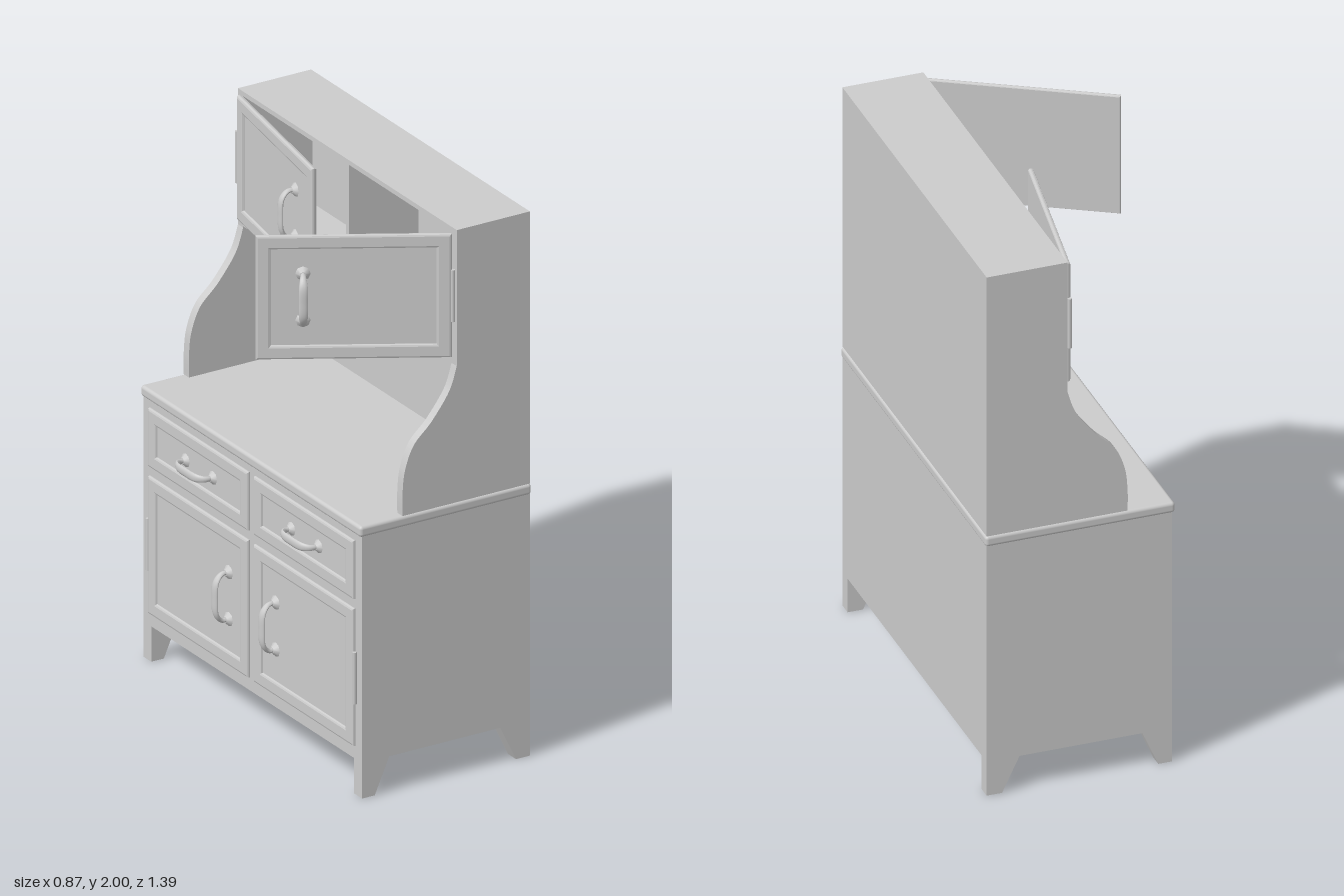
import * as THREE from 'three';
import { RoundedBoxGeometry } from 'three/addons/geometries/RoundedBoxGeometry.js';

const grey = new THREE.MeshStandardMaterial({ color: 0xcccccc });

function add(parent, name, geometry, x = 0, y = 0, z = 0) {
  const mesh = new THREE.Mesh(geometry, grey);
  mesh.name = name;
  mesh.position.set(x, y, z);
  parent.add(mesh);
  return mesh;
}

// Box given by its limits on each axis
function slab(parent, name, [x0, x1], [y0, y1], [z0, z1]) {
  return add(parent, name, new THREE.BoxGeometry(x1 - x0, y1 - y0, z1 - z0),
    (x0 + x1) / 2, (y0 + y1) / 2, (z0 + z1) / 2);
}

// Board with an x-y outline, its outer face at z = side * 0.69
function sideBoard(parent, name, shape, thick, side) {
  const geo = new THREE.ExtrudeGeometry(shape, { depth: thick, bevelEnabled: false, curveSegments: 10 });
  return add(parent, name, geo, 0, 0, side > 0 ? 0.69 - thick : -0.69);
}

function polygon(points) {
  return new THREE.Shape(points.map(([x, y]) => new THREE.Vector2(x, y)));
}

// Bow handle along local y: narrow necks, a wide grip and flared feet
function makeHandle() {
  const handle = new THREE.Group();
  handle.name = 'handle';
  const path = new THREE.CatmullRomCurve3([
    [-0.085, 0], [-0.085, 0.028], [-0.06, 0.05], [0, 0.055], [0.06, 0.05], [0.085, 0.028], [0.085, 0],
  ].map(([y, z]) => new THREE.Vector3(0, y, z)));
  const grip = new THREE.TubeGeometry(path, 32, 0.008, 10);
  const p = grip.attributes.position;
  for (let i = 0; i < p.count; i++) {
    p.setX(i, p.getX(i) * (1 + 1.2 * Math.pow(Math.max(p.getZ(i), 0) / 0.06, 2)));
  }
  grip.computeVertexNormals();
  add(handle, 'grip', grip);
  for (const s of [-1, 1]) {
    const foot = add(handle, 'handleFoot', new THREE.CylinderGeometry(0.011, 0.027, 0.016, 8), 0, s * 0.086, 0.007);
    foot.rotation.x = Math.PI / 2;
  }
  return handle;
}

// Framed panel with a recessed middle, facing local +z
function makePanel(name, w, h) {
  const panel = new THREE.Group();
  panel.name = name;
  const rect = (a, b) => [[-a, -b], [a, -b], [a, b], [-a, b]];
  const bevel = 0.008, inset = 0.043;
  const frame = polygon(rect(w / 2 - bevel, h / 2 - bevel));
  frame.holes.push(polygon(rect(w / 2 - inset, h / 2 - inset).reverse()));
  add(panel, 'panelFrame', new THREE.ExtrudeGeometry(frame, {
    depth: 0.004, bevelSize: bevel, bevelThickness: 0.008, bevelSegments: 2,
  }), 0, 0, -0.002);
  slab(panel, 'panelBoard', [-w / 2 + 0.004, w / 2 - 0.004], [-h / 2 + 0.004, h / 2 - 0.004], [-0.01, 0.001]);
  return panel;
}

// Door hung at local x = 0, reaching towards -side
function makeDoor(name, w, h, side) {
  const door = new THREE.Group();
  door.name = name;
  const panel = makePanel('doorPanel', w, h);
  panel.position.x = -side * w / 2;
  const handle = makeHandle();
  handle.position.set(-side * 0.5, 0, 0.001);
  door.add(panel, handle);
  add(door, 'hinge', new THREE.CylinderGeometry(0.008, 0.008, 0.19, 10), side * 0.003, 0, 0.005);
  return door;
}

export function createModel() {
  const model = new THREE.Group();
  model.name = 'cupboard';

  // Outline of the upper side boards, with the curved front
  const upper = new THREE.Shape();
  upper.moveTo(0.43, 1.0);
  upper.lineTo(0.43, 2.0);
  upper.lineTo(0.14, 2.0);
  upper.lineTo(0.14, 1.5);
  upper.splineThru([[0.11, 1.415], [0.04, 1.32], [-0.03, 1.25], [-0.065, 1.165], [-0.075, 1.08], [-0.075, 1.0]]
    .map(([x, y]) => new THREE.Vector2(x, y)));

  const lower = polygon([[-0.235, 0.13], [0.43, 0.13], [0.43, 0.965], [-0.235, 0.965]]);
  const frontLeg = polygon([[-0.235, 0], [-0.185, 0], [-0.128, 0.13], [-0.235, 0.13]]);
  const backLeg = polygon([[0.375, 0], [0.43, 0], [0.43, 0.13], [0.312, 0.13]]);

  // Carcass: open underneath
  slab(model, 'lowerBack', [0.41, 0.43], [0.13, 0.965], [-0.66, 0.66]);
  slab(model, 'lowerFront', [-0.235, -0.212], [0.13, 0.965], [-0.66, 0.66]);
  add(model, 'countertop', new RoundedBoxGeometry(0.68, 0.04, 1.39, 3, 0.012), 0.095, 0.98, 0);
  slab(model, 'upperBack', [0.415, 0.43], [1.0, 2.0], [-0.66, 0.66]);
  slab(model, 'upperTop', [0.14, 0.415], [1.983, 2.0], [-0.66, 0.66]);
  slab(model, 'upperShelf', [0.14, 0.415], [1.505, 1.525], [-0.66, 0.66]);
  slab(model, 'upperDivider', [0.14, 0.415], [1.525, 1.983], [-0.01, 0.01]);

  for (const side of [-1, 1]) {
    sideBoard(model, 'lowerSide', lower, 0.03, side);
    sideBoard(model, 'upperSide', upper, 0.033, side);
    sideBoard(model, 'frontLeg', frontLeg, 0.05, side);
    sideBoard(model, 'backLeg', backLeg, 0.05, side);

    // Drawer with a level handle
    const drawer = makePanel('drawer', 0.63, 0.215);
    drawer.position.set(-0.236, 0.825, side * 0.333);
    drawer.rotation.y = -Math.PI / 2;
    const pull = makeHandle();
    pull.rotation.z = Math.PI / 2;
    drawer.add(pull);
    model.add(drawer);

    // Closed lower door
    const lowerDoor = makeDoor('lowerDoor', 0.63, 0.505, side);
    lowerDoor.position.set(-0.236, 0.43, side * 0.648);
    lowerDoor.rotation.y = -Math.PI / 2;
    model.add(lowerDoor);

    // Upper door, one wide open and one ajar
    const swing = THREE.MathUtils.degToRad(side > 0 ? 59.5 : 9.6);
    const upperDoor = makeDoor('upperDoor', 0.66, 0.455, side);
    upperDoor.position.set(0.132, 1.757, side * 0.672);
    upperDoor.rotation.y = -Math.PI / 2 + side * swing;
    model.add(upperDoor);
  }
  return model;
}
